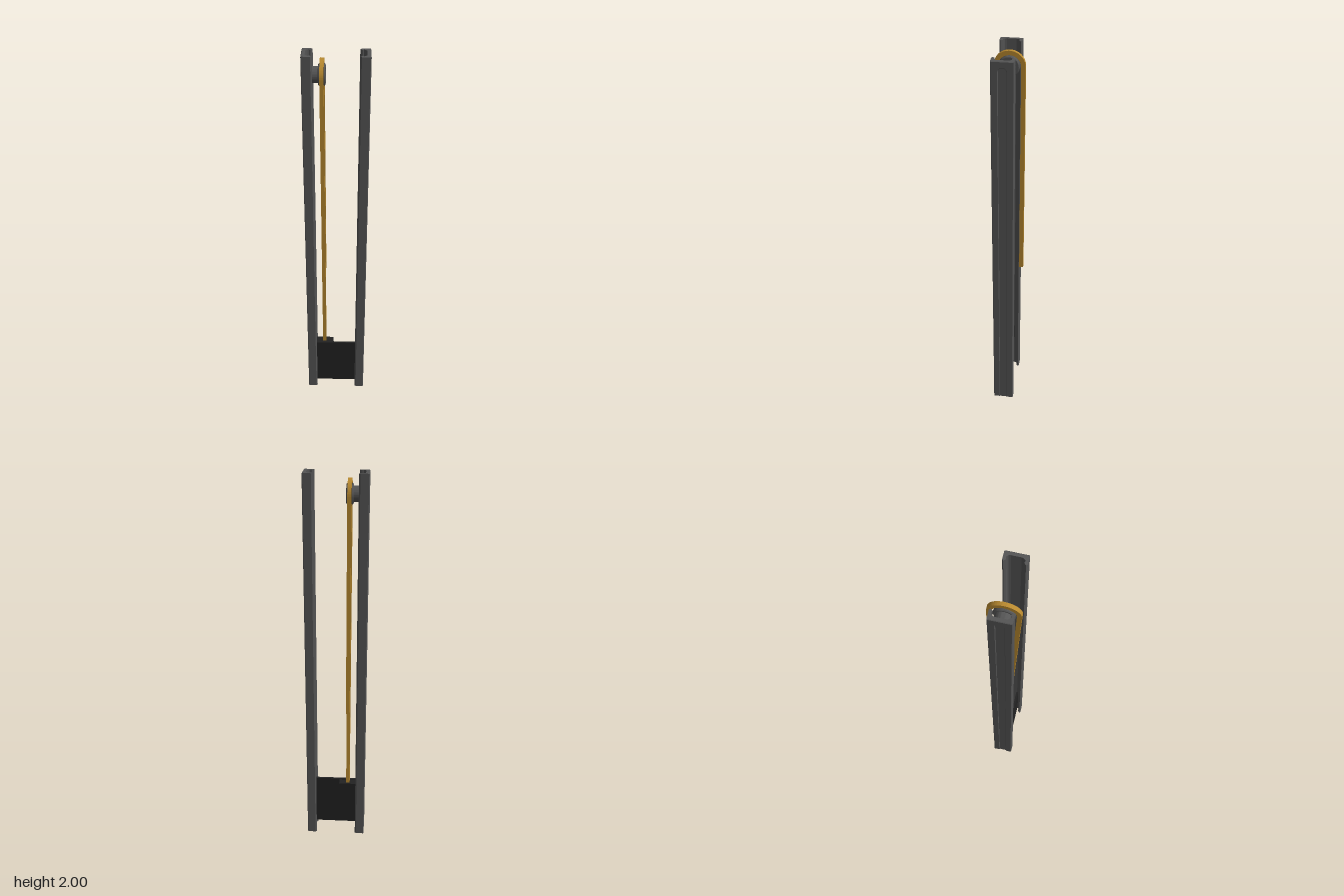
import * as THREE from 'three';
import { toCreasedNormals } from 'three/addons/utils/BufferGeometryUtils.js';

const steel = new THREE.MeshStandardMaterial({ name: 'greySteel', color: 0x555555 });
const black = new THREE.MeshStandardMaterial({ name: 'blackPlate', color: 0x222222 });
const brass = new THREE.MeshStandardMaterial({ name: 'goldChain', color: 0xb8892f });

function part(name, geometry, material) {
  const mesh = new THREE.Mesh(geometry, material);
  mesh.name = name;
  return mesh;
}

function box(name, material, x0, x1, y0, y1, z0, z1) {
  const g = new THREE.BoxGeometry(x1 - x0, y1 - y0, z1 - z0);
  g.translate((x0 + x1) / 2, (y0 + y1) / 2, (z0 + z1) / 2);
  return part(name, g, material);
}

// C-shaped upright with a shallow slot down its outer face, built at +x
function createRail(name) {
  const rail = new THREE.Group();
  rail.name = name;

  // half of the C section, mirrored about z = 0
  const half = [[0.152, 0.053], [0.114, 0.053], [0.107, 0.047], [0.116, 0.038], [0.122, 0.038],
    [0.124, 0.041], [0.131, 0.038], [0.137, 0.031], [0.139, 0.022]];
  const section = [...half, ...half.map(([x, z]) => [x, -z]).reverse()];
  const channel = new THREE.ExtrudeGeometry(
    new THREE.Shape(section.map(([x, z]) => new THREE.Vector2(x, z))),
    { depth: 2, bevelEnabled: false });
  channel.rotateX(-Math.PI / 2);
  rail.add(part('channel', channel, steel));

  // outer skin with the round-topped slot
  const s = new THREE.Shape();
  s.moveTo(-0.053, 0);
  s.lineTo(-0.019, 0);
  s.lineTo(-0.019, 1.95);
  s.absarc(0, 1.95, 0.019, Math.PI, 0, true);
  s.lineTo(0.019, 0);
  s.lineTo(0.053, 0);
  s.lineTo(0.053, 2);
  s.lineTo(-0.053, 2);
  s.closePath();
  const skin = new THREE.ExtrudeGeometry(s, {
    depth: 0.006, bevelThickness: 0.003, bevelSize: 0.003, bevelOffset: -0.003, bevelSegments: 1, curveSegments: 12,
  });
  skin.rotateY(Math.PI / 2);
  skin.translate(0.148, 0, 0);
  rail.add(part('slottedWeb', skin, steel));
  return rail;
}

// Chain draped over the pulley: straight drop behind, slanted run in front
function createChain(cy, cz) {
  const ro = 0.075, ri = 0.054, a = 0.04;
  const run = (cy - 0.3) / Math.cos(a);
  const end = (r) => [cz + r * Math.cos(a) - run * Math.sin(a), cy - r * Math.sin(a) - run * Math.cos(a)];
  const s = new THREE.Shape();
  s.moveTo(cz - ro, 0.77);
  s.lineTo(cz - ro, cy);
  s.absarc(cz, cy, ro, Math.PI, -a, true);
  s.lineTo(...end(ro));
  s.lineTo(...end(ri));
  s.absarc(cz, cy, ri, -a, Math.PI, false);
  s.lineTo(cz - ri, 0.77);
  s.closePath();
  const g = new THREE.ExtrudeGeometry(s, { depth: 0.019, bevelEnabled: false, curveSegments: 32 });
  g.rotateY(-Math.PI / 2);
  g.translate(-0.055, 0, 0);
  return part('chain', toCreasedNormals(g, 0.5), brass);
}

// Axle stub, hub and grooved wheel turned in one profile (radius, x)
function createPulley(cy) {
  const profile = [[0, -0.145], [0.012, -0.145], [0.012, -0.116], [0.036, -0.116], [0.038, -0.113],
    [0.038, -0.082], [0.045, -0.082], [0.05, -0.078], [0.05, -0.075], [0.047, -0.073],
    [0.047, -0.056], [0.05, -0.054], [0.05, -0.052], [0.046, -0.048], [0.034, -0.048],
    [0.032, -0.054], [0.018, -0.054], [0.016, -0.05], [0, -0.05]];
  const g = new THREE.LatheGeometry(profile.map(([r, x]) => new THREE.Vector2(r, x)), 40);
  g.rotateZ(-Math.PI / 2);
  g.translate(0, cy, 0);
  return part('pulley', toCreasedNormals(g, 0.5), steel);
}

export function createModel() {
  const model = new THREE.Group();
  model.name = 'liftMast';

  const leftRail = createRail('leftRail');
  const rightRail = createRail('rightRail');
  rightRail.rotation.y = Math.PI;
  model.add(leftRail, rightRail);

  // sliding carriage and the block holding the chain end
  model.add(box('carriagePlate', black, -0.139, 0.139, 0.03, 0.312, 0.018, 0.029));
  model.add(box('chainAnchor', black, -0.113, -0.017, 0.21, 0.308, -0.024, 0.019));

  model.add(createPulley(1.897));
  model.add(createChain(1.897, -0.002));
  return model;
}
